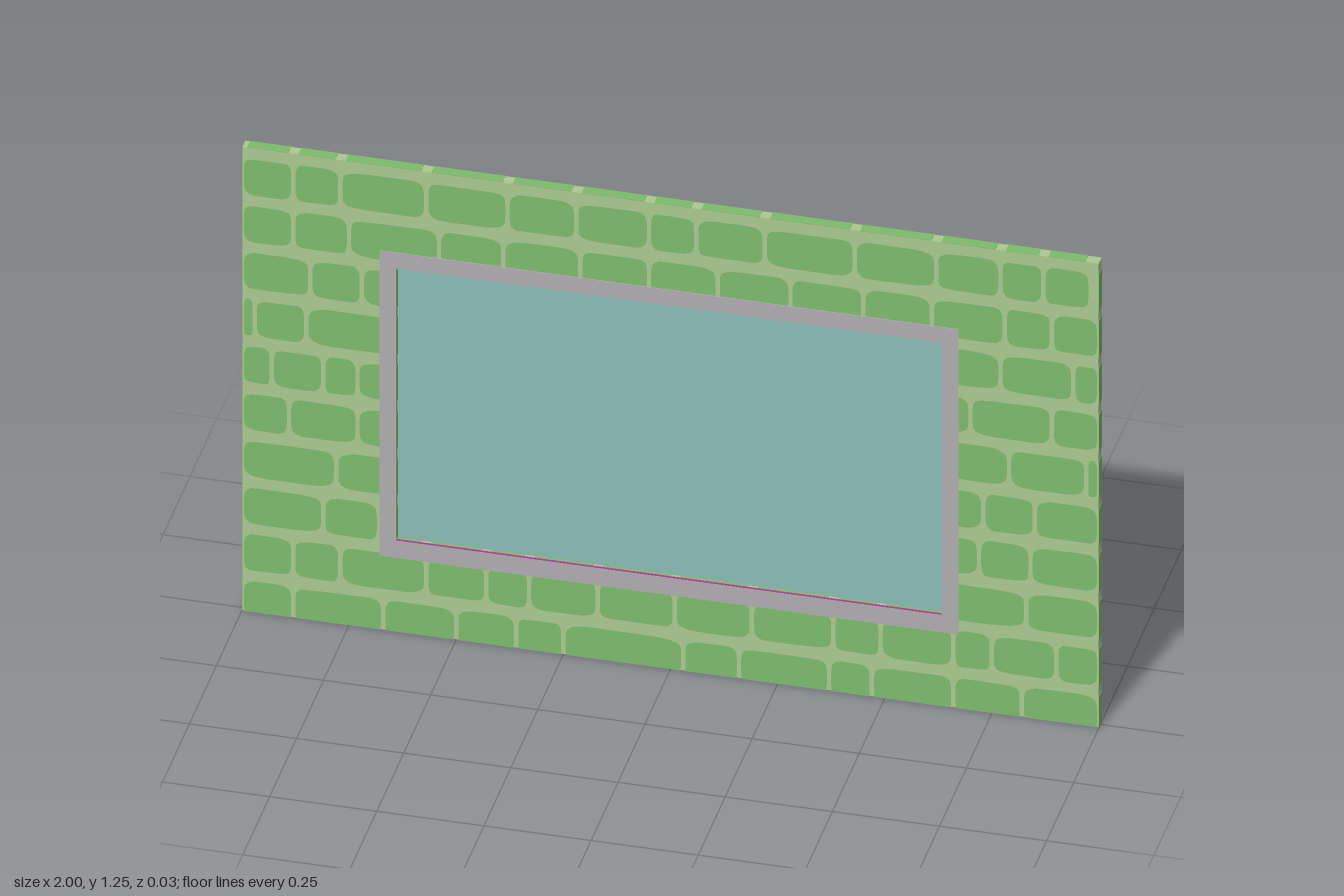
import * as THREE from 'three';
import { mergeGeometries } from 'three/addons/utils/BufferGeometryUtils.js';

const paint = (name, color) => new THREE.MeshStandardMaterial({ name, color });

// wall, opening and frame extents
const H = 1.25, ZB = -0.0155, ZF = 0.0135, SKIN = 0.001;
const HOLE = { x0: -0.64, x1: 0.633, y0: 0.247, y1: 0.98 };
const PITCH = 0.1265, BRICK_H = 0.1, FIRST = -0.0165;
const MID = (ZB + ZF) / 2, DEPTH = ZF - ZB;

// joints along each course, bottom to top; courses beside the opening have two runs
const COURSES = [
  [[-1, -.88, -.67, -.5, -.36, -.25, .03, .16, .37, .47, .66, .82, 1]],
  [[-1, -.88, -.77, -.57, -.43, -.33, -.17, .01, .19, .38, .49, .66, .75, .9, 1]],
  [[-1, -.81, -.68, -.5], [.5, .83, 1]],
  [[-1, -.78, -.5], [.5, .72, .84, 1]],
  [[-1, -.89, -.73, -.5], [.5, .73, .85, 1]],
  [[-1, -.93, -.81, -.73, -.5], [.5, .79, .97, 1]],
  [[-1, -.97, -.85, -.5], [.5, .7, .89, 1]],
  [[-1, -.84, -.72, -.5], [.5, .77, .94, 1]],
  [[-1, -.88, -.75, -.54, -.39, -.21, -.05, .11, .28, .45, .61, .78, .89, 1]],
  [[-1, -.88, -.77, -.57, -.38, -.22, -.05, .06, .22, .43, .62, .77, .87, .98]],
];

function rectPath(Type, x0, y0, x1, y1) {
  const p = new Type();
  p.moveTo(x0, y0); p.lineTo(x1, y0); p.lineTo(x1, y1); p.lineTo(x0, y1); p.closePath();
  return p;
}

// flat rectangle with a rectangular hole, given depth
function holedSlab(x0, y0, x1, y1, hole, z0, z1) {
  const s = rectPath(THREE.Shape, x0, y0, x1, y1);
  s.holes.push(rectPath(THREE.Path, hole.x0, hole.y0, hole.x1, hole.y1));
  return new THREE.ExtrudeGeometry(s, { depth: z1 - z0, bevelEnabled: false }).translate(0, 0, z0);
}

function box(x0, y0, z0, x1, y1, z1) {
  return new THREE.BoxGeometry(x1 - x0, y1 - y0, z1 - z0)
    .translate((x0 + x1) / 2, (y0 + y1) / 2, (z0 + z1) / 2);
}

// rounded brick face, slightly uneven, cut off at the given limits
function brickFace(a, b, y, minX, maxX, seed) {
  const cx = (a + b) / 2, cy = y + BRICK_H / 2;
  const hw = Math.max((b - a) / 2 - 0.005, 0.005), hh = BRICK_H / 2;
  const pts = [];
  for (let i = 0; i < 40; i++) {
    const t = (i + 0.5) / 40 * Math.PI * 2, c = Math.cos(t), s = Math.sin(t);
    const wob = 1 - 0.03 * (1 + Math.sin(3 * t + seed * 2.3));
    // corner radius stays similar on long and short bricks
    const px = Math.sign(c) * Math.abs(c) ** (0.1 / Math.max(hw / hh, 0.5) + 0.28) * hw;
    const py = Math.sign(s) * Math.abs(s) ** 0.38 * hh * wob;
    pts.push(new THREE.Vector2(
      THREE.MathUtils.clamp(cx + px, minX, maxX),
      THREE.MathUtils.clamp(cy + py, 0, H)));
  }
  return new THREE.ShapeGeometry(new THREE.Shape(pts));
}

// all brick faces for one side of the wall
function brickwork(hx0, hx1) {
  const faces = [];
  COURSES.forEach((runs, row) => runs.forEach((joints, r) => {
    const split = runs.length === 2;
    const lo = split && r === 1 ? hx1 : -1, hi = split && r === 0 ? hx0 : 1;
    for (let i = 0; i + 1 < joints.length; i++)
      faces.push(brickFace(joints[i], joints[i + 1], FIRST + row * PITCH, lo, hi, row * 5 + i));
  }));
  return mergeGeometries(faces);
}

export function createModel() {
  const model = new THREE.Group();
  model.name = 'wallWithWindow';
  const mortar = paint('mortar', 0xabc98f);
  const brick = paint('brick', 0x7dbb6d);
  const trim = paint('windowTrim', 0xb1adb1);
  const glass = paint('glass', 0x8bbcb6);
  const sill = paint('sillStrip', 0xb8359c);
  const add = (name, geo, mat) => {
    const m = new THREE.Mesh(geo, mat);
    m.name = name;
    model.add(m);
    return m;
  };

  // mortar slab with the window opening
  add('wall', holedSlab(-1 + SKIN, SKIN, 1 - SKIN, H - SKIN, HOLE, ZB + SKIN, ZF - SKIN), mortar);

  // brick faces front and back
  add('frontBricks', brickwork(HOLE.x0, HOLE.x1).translate(0, 0, ZF), brick);
  add('backBricks', brickwork(-HOLE.x1, -HOLE.x0).rotateY(Math.PI).translate(0, 0, ZB), brick);

  // brick bands on the wall ends and inside the opening
  const bands = [];
  COURSES.forEach((runs, row) => {
    const y0 = Math.max(0, FIRST + row * PITCH), y1 = FIRST + row * PITCH + BRICK_H;
    const xs = [-1, 1 - SKIN];
    if (runs.length === 2) xs.push(HOLE.x0, HOLE.x1 - SKIN);
    for (const x of xs) bands.push(box(x, y0, ZB + SKIN, x + SKIN, y1, ZF - SKIN));
  });
  add('endBricks', mergeGeometries(bands), brick);

  // bricks along the top, the underside and the head and foot of the opening
  const caps = [];
  const capRow = (joints, y, lo, hi) => {
    for (let i = 0; i + 1 < joints.length; i++) {
      const a = Math.max(joints[i] + 0.012, lo), b = Math.min(joints[i + 1] - 0.012, hi);
      if (b > a) caps.push(box(a, y, ZB + SKIN, b, y + SKIN, ZF - SKIN));
    }
  };
  capRow(COURSES[9][0], H - SKIN, -1, 1);
  capRow(COURSES[0][0], 0, -1, 1);
  capRow(COURSES[8][0], HOLE.y1 - SKIN, HOLE.x0, HOLE.x1);
  capRow(COURSES[1][0], HOLE.y0, HOLE.x0, HOLE.x1);
  add('capBricks', mergeGeometries(caps), brick);

  // window trim on the front, with a coloured strip on its lower inner edge
  add('windowTrim', holedSlab(-0.678, 0.2, 0.672, 1.022, HOLE, ZF - SKIN, ZF + 0.002), trim);
  add('sillStrip', box(HOLE.x0, HOLE.y0, ZF - 0.003, HOLE.x1, HOLE.y0 + 0.0015, ZF + 0.0015), sill);

  // pane set in the middle of the wall
  add('windowPane', box(HOLE.x0, HOLE.y0, MID - DEPTH * 0.1, HOLE.x1, HOLE.y1, MID + DEPTH * 0.1), glass);

  return model;
}
